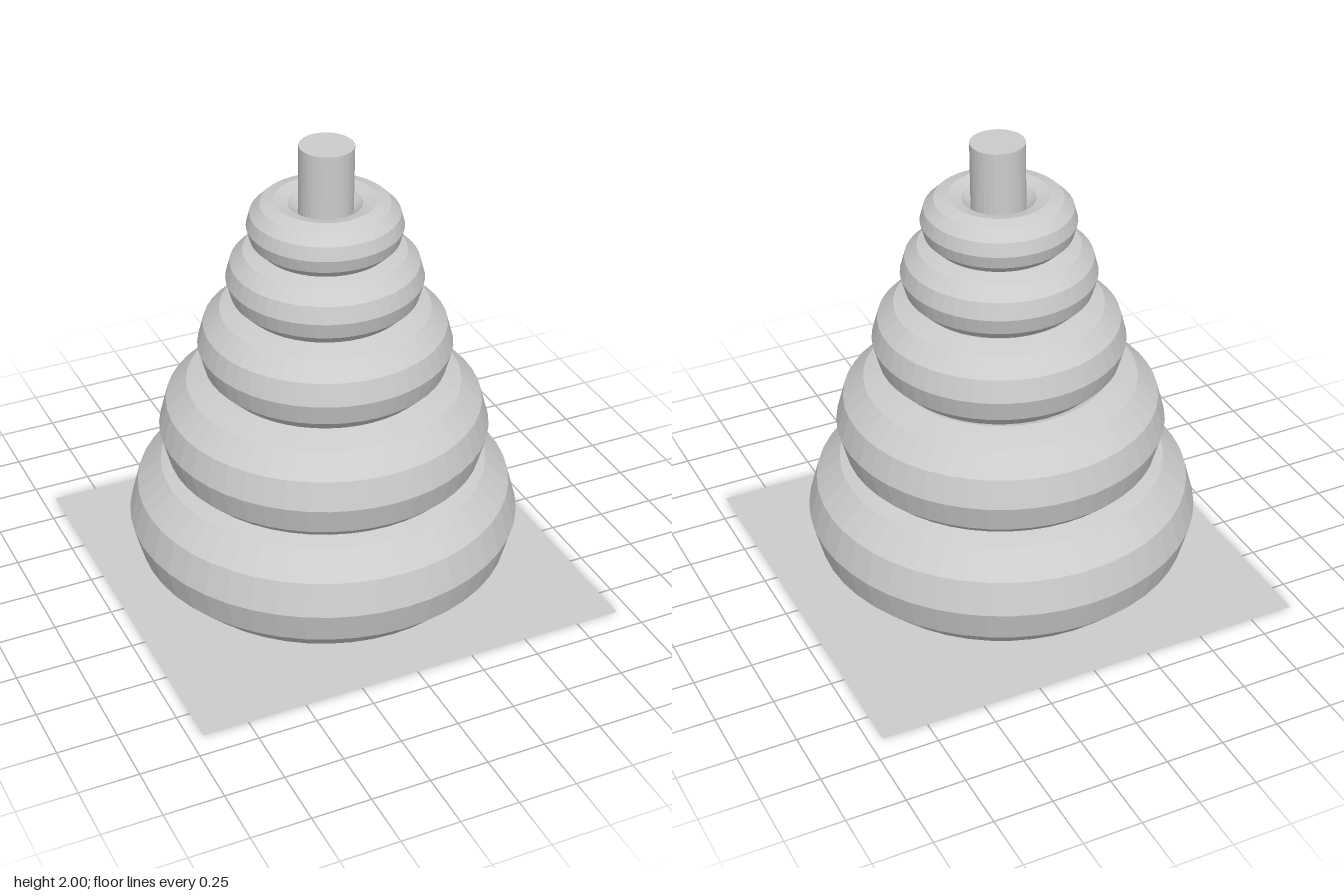
import * as THREE from 'three';

export function createModel() {
  const group = new THREE.Group();
  const material = new THREE.MeshStandardMaterial({
    color: 0xcccccc, flatShading: true, side: THREE.DoubleSide,
  });
  const add = (name, geometry, x, y, z) => {
    const mesh = new THREE.Mesh(geometry, material);
    mesh.name = name;
    mesh.position.set(x, y, z);
    group.add(mesh);
    return mesh;
  };

  // Thin ground sheet
  add('basePlane', new THREE.PlaneGeometry(1.886, 1.79).rotateX(-Math.PI / 2), 0, 0, 0);

  // Central pole, leaning very slightly
  const pole = add('pole', new THREE.CylinderGeometry(0.112, 0.112, 1.994, 32), -0.017, 0.999, 0.014);
  pole.rotation.set(0.01, 0, -0.01);

  // Stacked rings, largest at the bottom: outer radius, tube radius, x, y, z
  const rings = [
    [0.83, 0.28, -0.015, 0.295, 0.003],
    [0.694, 0.24, -0.014, 0.72, 0.01],
    [0.528, 0.187, -0.012, 1.11, 0.02],
    [0.405, 0.142, -0.014, 1.415, 0.023],
    [0.319, 0.112, -0.014, 1.65, 0.026],
  ];
  rings.forEach(([outer, tube, x, y, z], i) => {
    const torus = new THREE.TorusGeometry(outer - tube, tube, 12, 48).rotateX(Math.PI / 2);
    add(`ring${i + 1}`, torus, x, y, z);
  });

  return group;
}
